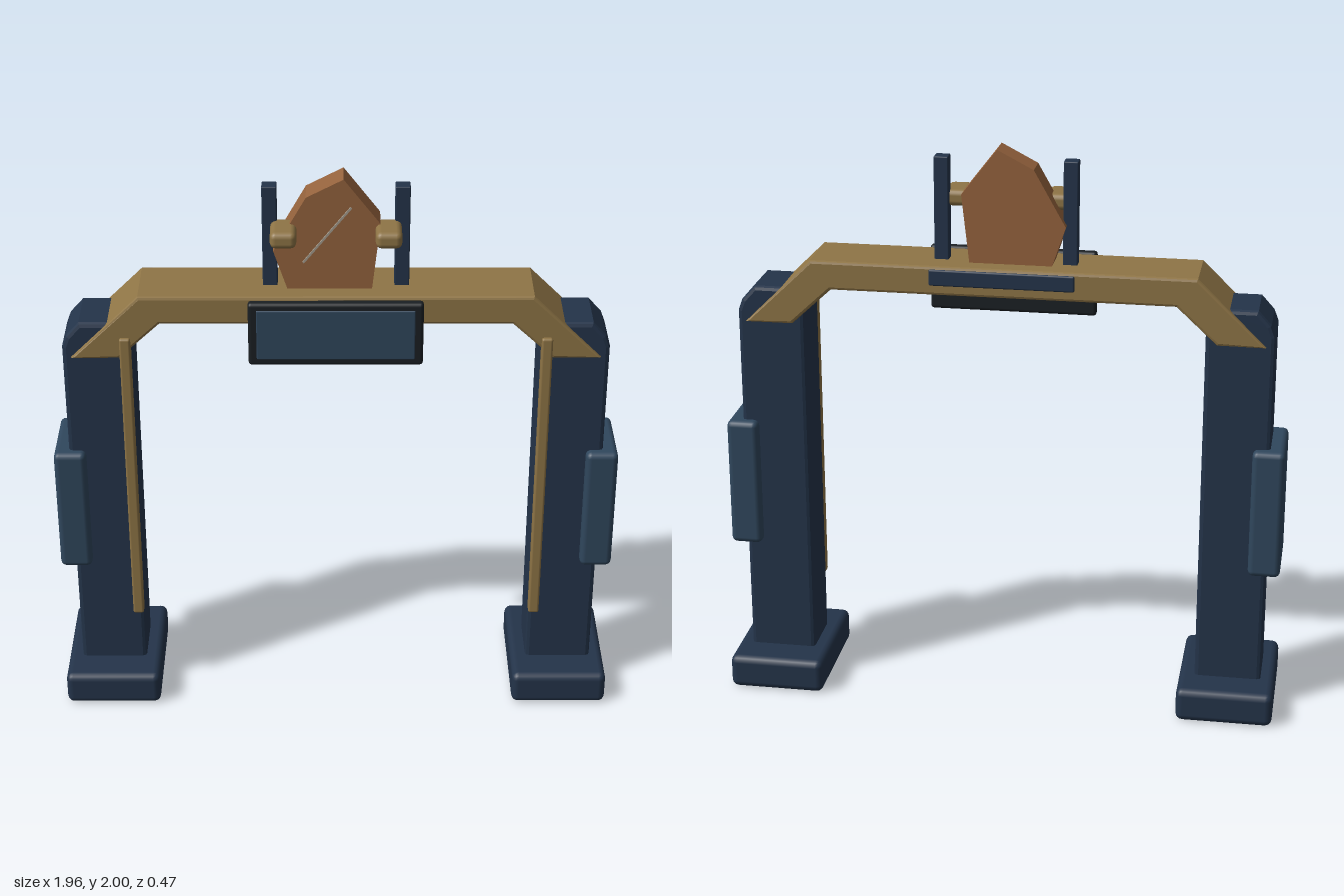
import * as THREE from 'three';
import { RoundedBoxGeometry } from 'three/addons/geometries/RoundedBoxGeometry.js';

export function createModel() {
  const model = new THREE.Group();
  model.name = 'archway';
  const mat = (color, flatShading = false) => {
    const m = new THREE.MeshStandardMaterial({ flatShading });
    m.color.set(color);
    return m;
  };
  const navy = mat(0x24344a), blue = mat(0x30475d), gold = mat(0x8f7546);
  const black = mat(0x1a1f23), line = mat(0xa39a8c);

  const add = (name, geometry, material, parent = model) => {
    const mesh = new THREE.Mesh(geometry, material);
    mesh.name = name;
    parent.add(mesh);
    return mesh;
  };
  // Rounded box given by its minimum and maximum corners
  const box = (name, [x0, y0, z0], [x1, y1, z1], r, material, parent) => {
    const g = new RoundedBoxGeometry(x1 - x0, y1 - y0, z1 - z0, 2, r);
    g.translate((x0 + x1) / 2, (y0 + y1) / 2, (z0 + z1) / 2);
    return add(name, g, material, parent);
  };
  // Bevelled front outline running from z0 to z1
  const slab = (name, points, z0, z1, bevel, material, parent) => {
    const shape = new THREE.Shape(points.map(([x, y]) => new THREE.Vector2(x, y)));
    const g = new THREE.ExtrudeGeometry(shape, {
      depth: z1 - z0 - 2 * bevel, bevelEnabled: bevel > 0, bevelSize: bevel,
      bevelThickness: bevel, bevelOffset: -bevel, bevelSegments: 2,
    });
    g.translate(0, 0, z0 + bevel);
    return add(name, g, material, parent);
  };

  // Columns with foot, side panel and trim strip
  for (const s of [-1, 1]) {
    const column = new THREE.Group();
    column.name = s > 0 ? 'leftColumn' : 'rightColumn';
    model.add(column);
    const sided = (name, a, b, r, material) => {
      const xs = [s * a[0], s * b[0]].sort((p, q) => p - q);
      box(name, [xs[0], a[1], a[2]], [xs[1], b[1], b[2]], r, material, column);
    };
    sided('foot', [0.64, 0, -0.233], [0.98, 0.122, 0.233], 0.025, navy);
    const outline = [[0.695, 0.1], [0.93, 0.1], [0.93, 1.405], [0.915, 1.445], [0.87, 1.495],
      [0.765, 1.495], [0.71, 1.445], [0.695, 1.405]].map(([x, y]) => [s * x, y]);
    if (s < 0) outline.reverse();
    slab('pillar', outline, -0.103, 0.103, 0.014, navy, column);
    sided('sidePanel', [0.87, 0.535, -0.138], [0.982, 1.0, 0.138], 0.02, blue);
    sided('trimStrip', [0.695, 0.33, 0.09], [0.733, 1.45, 0.132], 0.008, gold);
  }

  // Overhead beam
  slab('beam', [[-0.9, 1.37], [-0.735, 1.37], [-0.595, 1.5], [0.595, 1.5], [0.735, 1.37],
    [0.9, 1.37], [0.665, 1.602], [-0.665, 1.602]], -0.118, 0.118, 0.01, gold);

  // Front display and rear strip
  box('displayFrame', [-0.295, 1.37, 0.132], [0.293, 1.602, 0.168], 0.012, black);
  box('displayPanel', [-0.267, 1.395, 0.15], [0.265, 1.578, 0.172], 0.004, blue);
  box('rearStrip', [-0.25, 1.535, -0.124], [0.25, 1.592, -0.105], 0.006, navy);

  // Top plaque held between posts
  slab('plaque', [[-0.16, 1.59], [0.12, 1.59], [0.148, 1.84], [0.025, 2.0],
    [-0.1, 1.935], [-0.21, 1.74]], -0.05, 0.05, 0, mat(0x95633d, true));
  const crack = add('plaqueLine', new THREE.BoxGeometry(0.256, 0.007, 0.008), line);
  crack.position.set(-0.03, 1.8, 0.052);
  crack.rotation.z = Math.atan2(0.2, 0.16);
  for (const s of [-1, 1]) {
    const x = s * 0.222;
    box('post', [x - 0.025, 1.58, -0.025], [x + 0.025, 1.962, 0.025], 0.004, navy);
    const c = s * 0.175;
    box('clamp', [c - 0.044, 1.782, 0.0], [c + 0.044, 1.84, 0.13], 0.02, gold);
  }
  return model;
}
